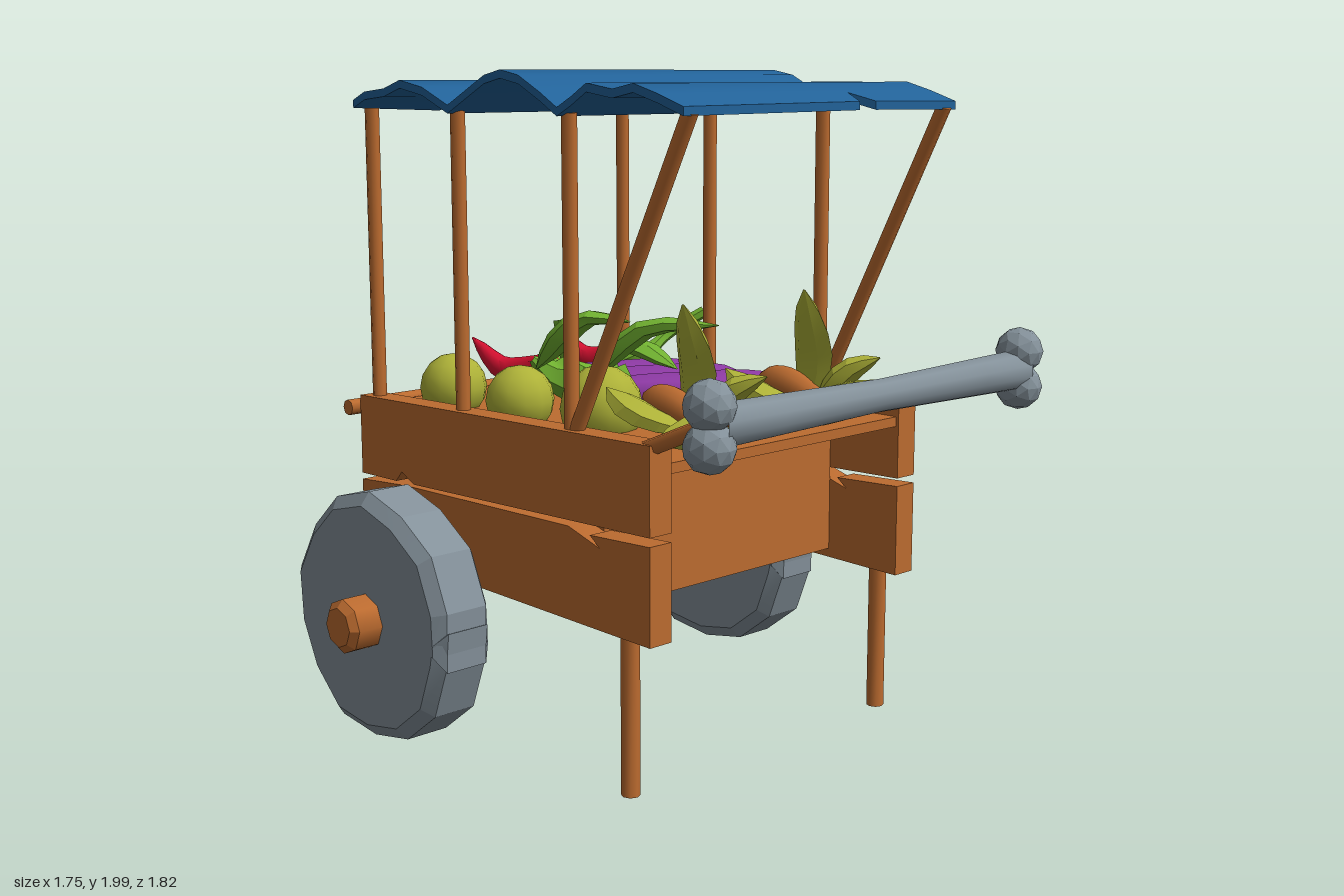
import * as THREE from 'three';
import { mergeGeometries, toCreasedNormals } from 'three/addons/utils/BufferGeometryUtils.js';

const mat = (name, color) => Object.assign(new THREE.MeshStandardMaterial({ color }), { name });
const V = (p) => new THREE.Vector3(...p);

export function createModel() {
  const wood = mat('wood', 0xbd6c30), stone = mat('stone', 0x84919a), cloth = mat('blueCloth', 0x22639a);
  const olive = mat('oliveSkin', 0xaeb238), leafGreen = mat('leafGreen', 0x70b030);
  const purple = mat('purpleSkin', 0x8e3aa5), red = mat('redSkin', 0xd3102f);
  const cart = new THREE.Group();
  cart.name = 'marketCart';

  const add = (name, geo, material, crease = 0.5) => {
    const mesh = new THREE.Mesh(toCreasedNormals(geo, crease), material);
    mesh.name = name;
    cart.add(mesh);
    return mesh;
  };
  const box = (name, x0, x1, y0, y1, z0, z1) => add(name,
    new THREE.BoxGeometry(x1 - x0, y1 - y0, z1 - z0).translate((x0 + x1) / 2, (y0 + y1) / 2, (z0 + z1) / 2), wood);
  // Straight round bar between two points
  const rod = (name, a, b, r, sides = 8, material = wood) => {
    const p = V(a), d = V(b).sub(p);
    const mesh = add(name, new THREE.CylinderGeometry(r, r, d.length(), sides), material, 0.9);
    mesh.position.copy(p).addScaledVector(d, 0.5);
    mesh.quaternion.setFromUnitVectors(new THREE.Vector3(0, 1, 0), d.normalize());
  };
  // Curved body with a radius rule, optionally squashed along one axis
  const taper = (name, pts, radius, material, { sides = 8, segs = 10, squash = [1, 1, 1], crease = 0.9 } = {}) => {
    const curve = new THREE.CatmullRomCurve3(pts.map(V));
    const geo = new THREE.TubeGeometry(curve, segs, 1, sides);
    const pos = geo.attributes.position, v = new THREE.Vector3(), s = V(squash);
    for (let i = 0; i < pos.count; i++) {
      const t = Math.floor(i / (sides + 1)) / segs, c = curve.getPointAt(t);
      v.fromBufferAttribute(pos, i).sub(c).multiplyScalar(Math.max(radius(t), 0.003)).multiply(s).add(c);
      pos.setXYZ(i, v.x, v.y, v.z);
    }
    add(name, geo, material, crease);
  };
  const extrude = (pts, depth, bevel = {}) => new THREE.ExtrudeGeometry(
    new THREE.Shape(pts.map((p) => new THREE.Vector2(...p))), { depth, bevelEnabled: false, ...bevel });

  // Cracked side planks
  const upper = [[-0.83, 0.99], [0.49, 1.02], [0.49, 0.77], [-0.56, 0.745], [-0.62, 0.775], [-0.65, 0.742], [-0.83, 0.74]];
  const lower = [[-0.83, 0.72], [-0.6, 0.735], [0.16, 0.745], [0.29, 0.705], [0.25, 0.735], [0.49, 0.745], [0.49, 0.465], [-0.83, 0.5]];
  for (const s of [1, -1]) {
    const z0 = s > 0 ? 0.48 : -0.56;
    add('upperPlank', extrude(upper, 0.08).translate(0, 0, z0), wood);
    add('lowerPlank', extrude(lower, 0.08).translate(0, 0, z0), wood);
  }

  // End boards, recessed under the tray at the handle end
  box('backBoard', -0.82, -0.77, 0.5, 0.96, -0.48, 0.48);
  box('innerBoard', 0.17, 0.22, 0.5, 0.93, -0.48, 0.48);
  box('trayFloor', -0.8, 0.48, 0.93, 0.96, -0.48, 0.48);
  for (const y of [0.53, 0.95]) rod('crossBar', [-0.855, y, -0.57], [-0.855, y, 0.59], 0.025);

  // Chipped wheel outline with one notch
  const rim = [];
  const n = 14;
  for (let i = 0; i < n; i++) {
    const a = (i + 0.5) / n * Math.PI * 2, r = 0.338 + 0.008 * Math.sin(i * 2.3);
    rim.push([r * Math.cos(a), r * Math.sin(a)]);
  }
  rim.push([0.335, -0.01], [0.29, -0.02], [0.335, -0.045]);
  for (const s of [1, -1]) {
    const wheel = extrude(rim, 0.14, { bevelEnabled: true, bevelThickness: 0.03, bevelSize: 0.038, bevelSegments: 1 });
    add('wheel', wheel.translate(-0.48, 0.39, s * 0.71 - 0.07), stone, 0.2);
    rod('axle', [-0.47, 0.385, s * 0.5], [-0.47, 0.385, s * 0.89], 0.083);
    add('axleCap', new THREE.CylinderGeometry(s > 0 ? 0.06 : 0.083, s > 0 ? 0.083 : 0.06, 0.02, 8)
      .rotateX(Math.PI / 2).translate(-0.47, 0.385, s * 0.9), wood, 0.2);

    // Legs, canopy posts and handle arms
    rod('leg', [0.38, 0.01, s * 0.53], [0.38, 0.6, s * 0.53], 0.027);
    for (const x of [-0.78, -0.355, 0.135]) rod('canopyPost', [x, 0.95, s * 0.52], [x, 1.88, s * 0.52], 0.022);
    rod('slantedPost', [0.14, 0.98, s * 0.52], [0.6, 1.89, s * 0.52], 0.022);
    rod('handleArm', [0.42, 0.99, s * 0.53], [0.8, 1.15, s * 0.53], 0.023);
    for (const y of [1.18, 1.075])
      add('handleKnob', new THREE.IcosahedronGeometry(0.07, 1).translate(0.8, y, s * 0.65), stone, 0.2);
  }
  // Bone-shaped push handle
  taper('boneHandle', [[0.8, 1.125, -0.64], [0.8, 1.125, 0], [0.8, 1.125, 0.64]],
    (t) => 0.046 + 0.014 * Math.abs(2 * t - 1), stone, { sides: 10, segs: 6 });

  // Wavy canopy made of strips; seams open into tears and the ends are nicked
  const wave = [[-0.83, 1.9], [-0.76, 1.93], [-0.66, 1.94], [-0.58, 1.965], [-0.47, 1.945], [-0.35, 1.895],
    [-0.27, 1.935], [-0.18, 1.98], [-0.11, 1.995], [-0.03, 1.98], [0.06, 1.935], [0.13, 1.895],
    [0.19, 1.925], [0.25, 1.96], [0.35, 1.945], [0.43, 1.96], [0.52, 1.935], [0.61, 1.905]];
  const height = (x) => {
    let i = 1;
    while (i < wave.length - 1 && x > wave[i][0]) i++;
    const [x0, y0] = wave[i - 1], [x1, y1] = wave[i];
    return y0 + (y1 - y0) * (x - x0) / (x1 - x0);
  };
  const seam = (i, side) => {
    const x = wave[i][0];
    if (i === 0) return [[-0.82, -0.56], [-0.825, 0.15], [-0.775, 0.175], [-0.85, 0.21], [-0.82, 0.56]];
    if (i === wave.length - 1) return [[0.61, -0.56], [0.6, -0.21], [0.53, -0.17], [0.6, -0.14], [0.615, 0.56]];
    const tear = { 4: [-0.34, -0.12, 0.01], 13: [-0.34, -0.12, 0.33] }[i];
    if (!tear) return [[x, -0.56], [x, 0.56]];
    return [[x, -0.56], [x, tear[0]], [x + side * 0.025, tear[1]], [x, tear[2]], [x, 0.56]];
  };
  const strips = [];
  for (let i = 0; i < wave.length - 1; i++) {
    const outline = [...seam(i, 1), ...seam(i + 1, -1).reverse()].map(([x, z]) => [x, -z]);
    const strip = extrude(outline, 0.024).rotateX(-Math.PI / 2), pos = strip.attributes.position;
    for (let k = 0; k < pos.count; k++) pos.setY(k, pos.getY(k) + height(pos.getX(k)) - 0.024);
    strips.push(strip);
  }
  add('canopy', mergeGeometries(strips), cloth, 0.6);

  // Round melons with green caps
  for (const [x, z, r] of [[-0.61, 0.36, 0.105], [-0.285, 0.36, 0.105], [-0.02, 0.27, 0.125]]) {
    add('melon', new THREE.SphereGeometry(r, 12, 8).translate(x, 1.02, z), olive, 1);
    const cap = add('melonCap', new THREE.SphereGeometry(r * 1.04, 7, 3, 0, Math.PI * 2, 0, 0.75), leafGreen);
    cap.position.set(x, 1.02, z);
    cap.quaternion.setFromUnitVectors(new THREE.Vector3(0, 1, 0), V([-0.4, 0.35, -0.85]).normalize());
  }

  // Aubergines with green caps at the inner end
  const plump = (r) => (t) => r * Math.pow(Math.sin(Math.PI * (0.02 + 0.9 * t)), 0.45) * (1 - 0.25 * t);
  for (const [a, b] of [[[0.03, -0.44], [-0.18, 0.12]], [[-0.32, -0.42], [-0.46, 0.08]], [[-0.14, -0.44], [-0.32, 0.04]]]) {
    const mid = [(a[0] + b[0]) / 2 + 0.02, 1.0, (a[1] + b[1]) / 2];
    taper('aubergine', [[a[0], 1.01, a[1]], mid, [b[0], 1.03, b[1]]], plump(0.085), purple);
    taper('aubergineCap', [[b[0] + 0.02, 1.03, b[1] - 0.06], [b[0], 1.04, b[1]], [b[0] - 0.02, 1.1, b[1] + 0.07]],
      (t) => 0.068 * (1 - t) + 0.012, leafGreen, { sides: 6, segs: 4 });
  }

  // Curled red peppers with green stems
  for (const [z, tipZ, stem] of [[-0.36, -0.3, [-0.42, 1.19, -0.56]], [0.0, 0.08, [-0.5, 1.21, 0.02]]]) {
    taper('pepper', [[-0.52, 1.03, z], [-0.66, 1.01, z - 0.01], [-0.79, 1.02, z + 0.02], [-0.87, 1.12, tipZ]],
      (t) => 0.08 * Math.pow(1 - t, 0.6) * Math.min(1, 0.6 + 4 * t), red);
    taper('pepperStem', [[-0.56, 1.03, z], [-0.5, 1.06, z - 0.01], [-0.49, 1.12, (z + stem[2]) / 2], stem],
      (t) => 0.02 + 0.055 * Math.max(0, 1 - 3 * t), leafGreen, { sides: 6 });
  }

  // Pointed leaves and maize husks
  const blade = (w) => (t) => w * Math.pow(Math.sin(Math.PI * t), 0.7);
  const leaf = (name, pts, w, material, squash) =>
    taper(name, pts, blade(w), material, { sides: 6, segs: 6, squash, crease: 0.3 });
  leaf('greenLeaf', [[-0.4, 1.08, 0.2], [-0.27, 1.24, 0.12], [-0.13, 1.24, 0.05]], 0.065, leafGreen, [0.8, 0.4, 1]);
  leaf('greenLeaf', [[-0.22, 1.06, 0.14], [-0.09, 1.22, 0.03], [0.11, 1.24, -0.09]], 0.065, leafGreen, [0.8, 0.4, 1]);
  leaf('greenLeaf', [[-0.4, 1.04, -0.05], [-0.28, 1.14, -0.08], [-0.1, 1.08, -0.12]], 0.06, leafGreen, [0.8, 0.4, 1]);
  for (const [z, tip] of [[0.24, 0.3], [-0.25, -0.2]]) {
    taper('maizeCob', [[0.14, 1.07, z], [0.25, 1.06, z], [0.4, 1.01, z]], plump(0.06), wood);
    leaf('tallHusk', [[0.32, 0.97, z], [0.33, 1.15, z - 0.02], [0.35, 1.36, tip]], 0.075, olive, [1, 1, 0.35]);
    leaf('outerHusk', [[0.33, 0.99, z], [0.45, 1.04, z + 0.02], [0.61, 1.1, z - 0.05]], 0.085, olive, [1, 0.5, 1]);
    leaf('innerHusk', [[0.36, 0.99, z], [0.22, 1.03, z + 0.08], [0.08, 1.1, z + 0.1]], 0.075, olive, [1, 0.4, 1]);
    leaf('lyingHusk', [[0.41, 1.0, z + 0.23], [0.42, 1.02, z], [0.4, 1.06, z - 0.22]], 0.085, olive, [1, 0.6, 1]);
    leaf('sideHusk', [[0.36, 1.0, z], [0.44, 1.12, z - 0.06], [0.52, 1.16, z - 0.1]], 0.06, olive, [0.6, 0.6, 1]);
  }
  return cart;
}
